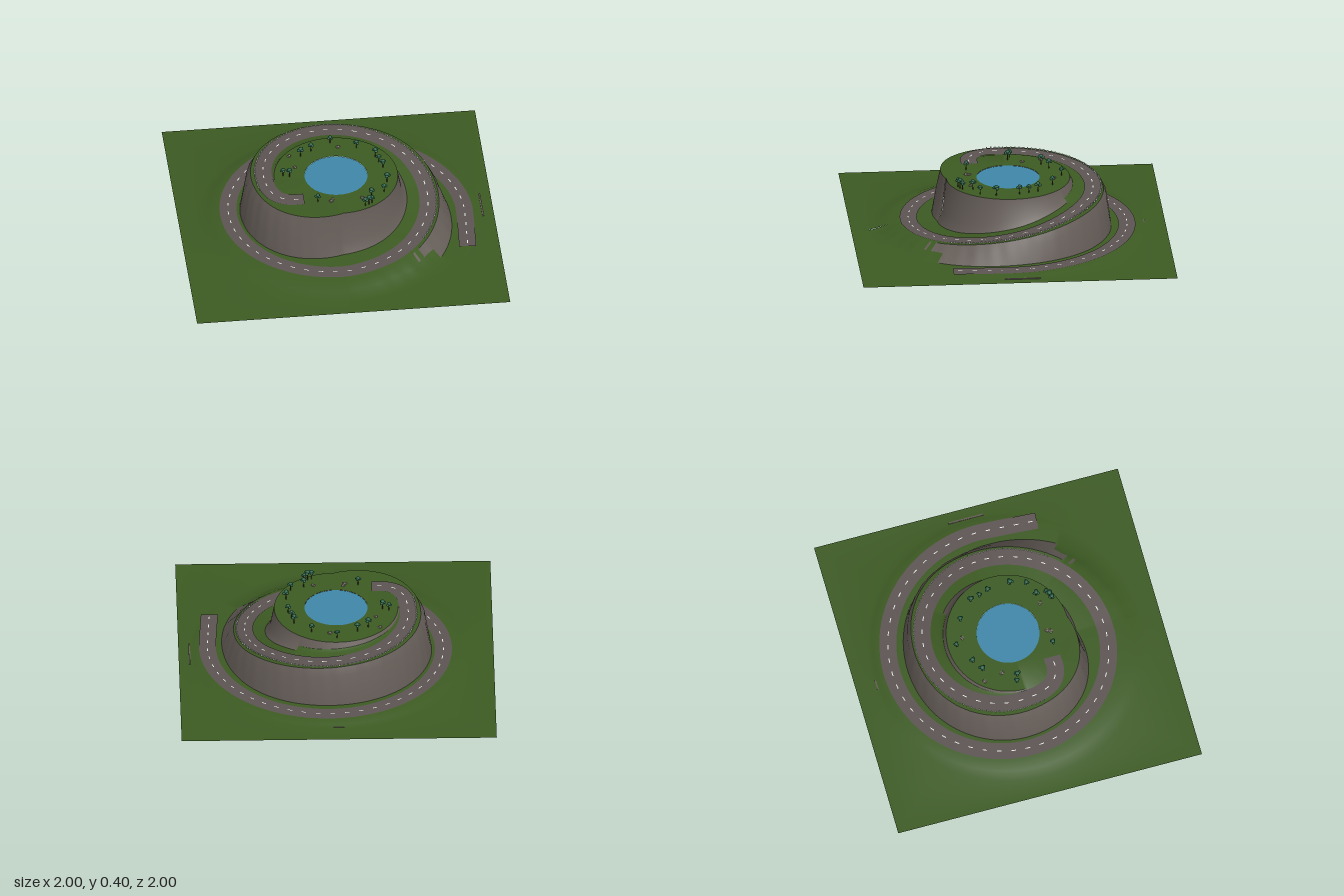
import * as THREE from 'three';
import { toCreasedNormals, mergeGeometries } from 'three/addons/utils/BufferGeometryUtils.js';

const mat = (name, color, side = THREE.FrontSide) => {
  const m = new THREE.MeshStandardMaterial({ color, side });
  m.name = name;
  return m;
};

const TOP = 0.333; // plateau height
const RIM = 0.393; // plateau radius
const LAKE = 0.2;

// Hill profile per eighth of a turn (from the front, counter-clockwise):
// foot, lower shoulder, cliff foot, cliff top, wall foot radii;
// lower and upper terrace heights; cliff bulge
const KEYS = [
  [0.885, 0.88, 0.87, 0.73, 0.45, 0, 0.045, 0.5],
  [0.92, 0.90, 0.80, 0.68, 0.45, 0.001, 0.085, 0.5],
  [0.93, 0.88, 0.72, 0.65, 0.45, 0.012, 0.155, 0.65],
  [0.92, 0.85, 0.69, 0.64, 0.445, 0.018, 0.24, 0.75],
  [0.88, 0.81, 0.65, 0.60, 0.43, 0.025, 0.282, 0.8],
  [0.88, 0.78, 0.63, 0.575, 0.42, 0.033, 0.308, 0.8],
  [0.88, 0.745, 0.605, 0.535, 0.41, 0.04, 0.325, 0.8],
  [0.88, 0.74, 0.56, 0.50, 0.405, 0.043, 0.333, 0.75],
  [0.885, 0.73, 0.45, 0.396, 0.394, 0.045, 0.333, 0.25],
];
const keySpline = new THREE.CubicInterpolant(KEYS.map((_, i) => -0.25 + i / 8), KEYS.flat(), 8);
const profileAt = v => Array.from(keySpline.evaluate(v));
const roadRadius = new THREE.CubicInterpolant(
  [0, 0.25, 0.5, 0.75, 1, 1.25, 1.5], [0.815, 0.75, 0.68, 0.63, 0.58, 0.535, 0.455], 1);

const polar = (turn, r, y) =>
  new THREE.Vector3(r * Math.cos(turn * 2 * Math.PI), y, -r * Math.sin(turn * 2 * Math.PI));

function trianglesGeometry(points) {
  const g = new THREE.BufferGeometry().setFromPoints(points);
  return toCreasedNormals(g, 0.7);
}

// One column of terrain points, from the square border in to the lake
function column(v) {
  const [A, B, C, D, E, low, h1, bulge] = profileAt(v);
  const h0 = Math.max(0, low);
  const a = v * 2 * Math.PI;
  const border = 1 / Math.max(Math.abs(Math.cos(a)), Math.abs(Math.sin(a)));
  const ripple = 0.004 * Math.sin(v * 190) * Math.sin(v * 71);
  return [
    [border, 0], [A, 0], [(A + B) / 2, h0 * 0.45], [B, h0], [C, h0],
    [C + (D - C) * 0.55 + ripple * (C - D) * 12, h0 + (h1 - h0) * bulge],
    [D, h1], [E, h1],
    [E + (RIM - E) * 0.55, h1 + (TOP - h1) * 0.25],
    [RIM, TOP], [LAKE, TOP],
  ].map(([r, y]) => polar(v, r, y));
}

// Terrain split into grass and steep rock
function terrain() {
  const grass = [], rock = [], N = 240;
  const cols = Array.from({ length: N + 1 }, (_, j) => column(-0.25 + j / N));
  for (let j = 0; j < N; j++) {
    for (let k = 0; k < cols[0].length - 1; k++) {
      const a = cols[j][k], b = cols[j][k + 1], c = cols[j + 1][k], d = cols[j + 1][k + 1];
      const run = Math.hypot(a.x - b.x, a.z - b.z);
      const steep = Math.abs(b.y - a.y) > 0.75 * run && Math.abs(b.y - a.y) > 0.006;
      (steep ? rock : grass).push(a, c, b, c, d, b);
    }
  }
  return { grass: trianglesGeometry(grass), rock: trianglesGeometry(rock) };
}

// Centre line of the road: straight approach, spiral climb, turn onto the plateau
function roadCurve() {
  const pts = [new THREE.Vector3(0.795, 0.008, 0.41), new THREE.Vector3(0.805, 0.009, 0.25),
    new THREE.Vector3(0.813, 0.011, 0.1)];
  for (let i = 0; i <= 72; i++) {
    const t = i / 48;
    const y = t < 0.75 ? profileAt(t)[5] : profileAt(t - 1)[6];
    pts.push(polar(t, roadRadius.evaluate(t)[0], y));
  }
  pts.push(new THREE.Vector3(-0.44, 0.331, 0.1), new THREE.Vector3(-0.395, 0.333, 0.185),
    new THREE.Vector3(-0.32, 0.334, 0.225), new THREE.Vector3(-0.23, 0.334, 0.225));
  const curve = new THREE.CatmullRomCurve3(pts, false, 'centripetal');
  curve.arcLengthDivisions = 1500;
  return curve;
}

// Point beside the curve at arc fraction u
function beside(curve, u, offset, lift) {
  const p = curve.getPointAt(u), t = curve.getTangentAt(u);
  const n = Math.hypot(t.x, t.z);
  return new THREE.Vector3(p.x - (t.z / n) * offset, p.y + lift, p.z + (t.x / n) * offset);
}

// Flat strip following the curve
function ribbon(curve, u0, u1, half, lift, steps) {
  const out = [];
  for (let i = 0; i < steps; i++) {
    const p = u0 + (u1 - u0) * i / steps, q = u0 + (u1 - u0) * (i + 1) / steps;
    const a = beside(curve, p, half, lift), b = beside(curve, p, -half, lift);
    const c = beside(curve, q, half, lift), d = beside(curve, q, -half, lift);
    out.push(a, c, b, c, d, b);
  }
  return trianglesGeometry(out);
}

export function createModel() {
  const model = new THREE.Group();
  model.name = 'spiralRoadHill';
  const grassMat = mat('grass', 0x3c5a22, THREE.DoubleSide);
  const rockMat = mat('rock', 0x655d58, THREE.DoubleSide);
  const roadMat = mat('asphalt', 0x5c5452, THREE.DoubleSide);
  const whiteMat = mat('white paint', 0xeeeeea, THREE.DoubleSide);
  const waterMat = mat('water', 0x3f86a8);
  const leafMat = mat('leaves', 0x2b6448);
  const trunkMat = mat('bark', 0x4a3a2a);
  const stoneMat = mat('pale stone', 0x8a8078);
  const add = (name, geometry, material, parent = model) => {
    const mesh = new THREE.Mesh(geometry, material);
    mesh.name = name;
    parent.add(mesh);
    return mesh;
  };

  // Land
  const land = terrain();
  add('grassLand', land.grass, grassMat);
  add('rockCliffs', land.rock, rockMat);
  for (const [x, z, w, d] of [[0, -0.865, 0.07, 0.008], [0.93, -0.02, 0.01, 0.23]]) {
    add('rockStrip', new THREE.BoxGeometry(w, 0.006, d), rockMat).position.set(x, 0.003, z);
  }

  // Lake and its basin
  add('lakeBasin', new THREE.CylinderGeometry(LAKE, LAKE, 0.042, 64), rockMat).position.y = 0.305;
  add('lakeWater', new THREE.CylinderGeometry(LAKE, LAKE, 0.005, 64), waterMat).position.y = 0.329;

  // Road, centre dashes and edge posts
  const curve = roadCurve();
  const length = curve.getLength();
  add('road', ribbon(curve, 0, 1, 0.054, 0.005, 400), roadMat);
  const dashes = [], dashCount = Math.round(length / 0.092);
  for (let i = 0; i < dashCount; i++) {
    const u = (i + 0.3) / dashCount;
    dashes.push(ribbon(curve, u, u + 0.03 / length, 0.003, 0.0075, 2));
  }
  add('centreDashes', mergeGeometries(dashes), whiteMat);
  const posts = [];
  for (let u = 0.64; u < 0.96; u += 0.024 / length) {
    const p = beside(curve, u, 0.053, 0.009);
    posts.push(new THREE.BoxGeometry(0.007, 0.012, 0.007).translate(p.x, p.y, p.z));
  }
  add('edgePosts', mergeGeometries(posts), whiteMat);

  // Trees around the lake
  const spots = [[0, -0.34], [-0.13, -0.27], [-0.2, -0.225], [0.16, -0.27], [0.27, -0.17],
    [0.285, -0.11], [0.305, -0.05], [0.315, 0.1], [0.285, 0.2], [0.2, 0.24], [0.195, 0.305],
    [0.15, 0.33], [0.175, 0.32], [-0.145, 0.255], [-0.295, -0.02], [-0.335, -0.035]];
  spots.forEach(([x, z], i) => {
    const tree = new THREE.Group();
    tree.name = 'tree';
    const s = 0.85 + 0.2 * ((i * 7) % 5) / 4;
    add('trunk', new THREE.CylinderGeometry(0.002, 0.0035, 0.045, 6), trunkMat, tree).position.y = 0.0225;
    const puffs = [[0, 0.056, 0, 0.014], [0.012, 0.047, 0.004, 0.011], [-0.011, 0.049, 0.006, 0.011],
      [0.001, 0.05, -0.012, 0.01]].map(([px, py, pz, r]) =>
      new THREE.IcosahedronGeometry(r, 1).scale(1, 0.85, 1).translate(px, py, pz));
    add('canopy', mergeGeometries(puffs), leafMat, tree);
    tree.position.set(x, TOP, z);
    tree.rotation.y = i * 1.9;
    tree.scale.setScalar(s);
    model.add(tree);
  });

  // Boulders
  [[-0.06, 0.265], [-0.05, 0.245], [0.14, 0.25], [-0.275, -0.23], [-0.25, -0.11], [0.045, -0.29]]
    .forEach(([x, z], i) => {
      const stone = add('boulder', new THREE.DodecahedronGeometry(0.014), stoneMat);
      stone.scale.set(1.1, 0.6, 0.85);
      stone.rotation.y = i * 1.3;
      stone.position.set(x, TOP + 0.004, z);
    });

  return model;
}
